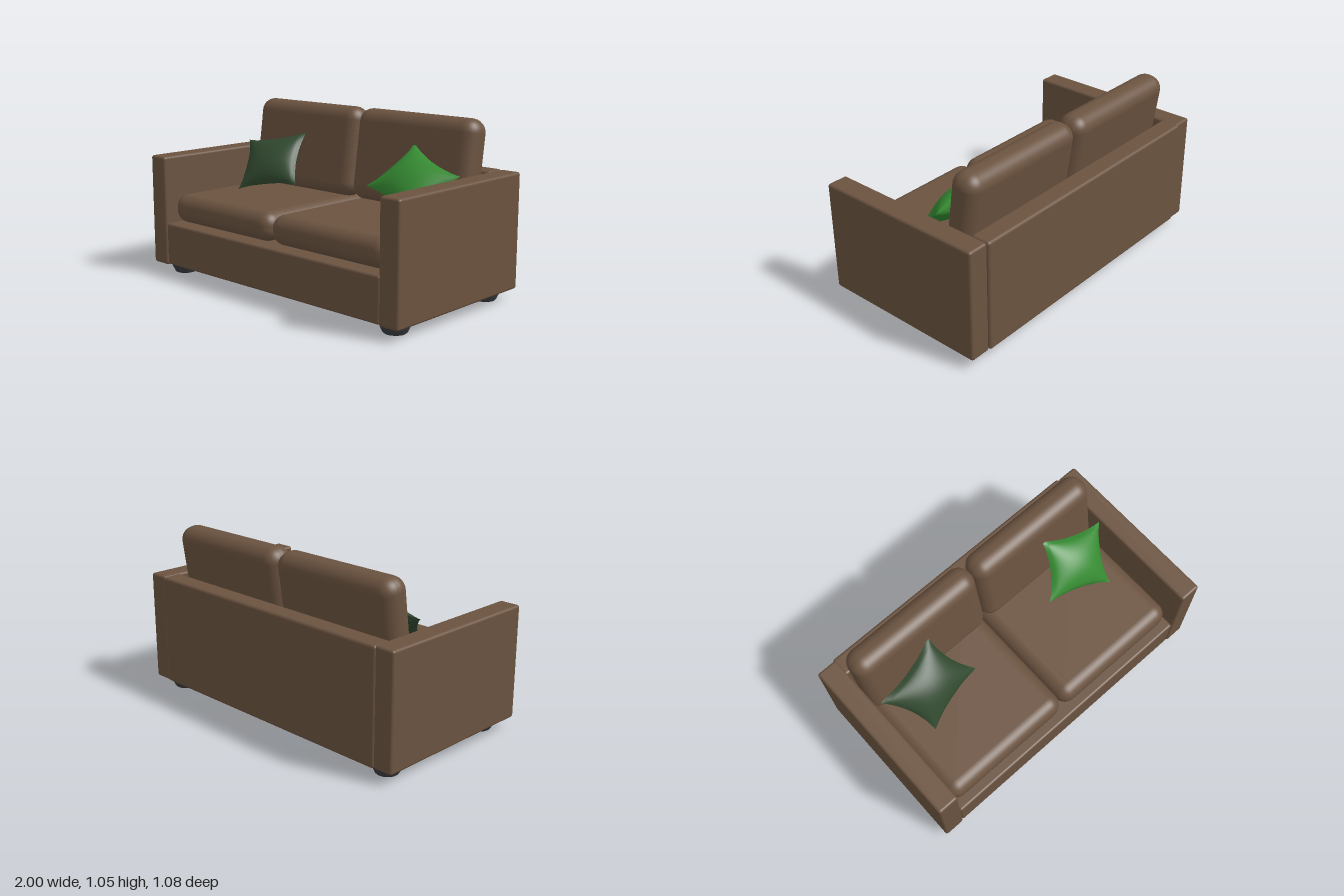
import * as THREE from 'three';
import { RoundedBoxGeometry } from 'three/addons/geometries/RoundedBoxGeometry.js';
import { ParametricGeometry } from 'three/addons/geometries/ParametricGeometry.js';

const material = (color) => new THREE.MeshStandardMaterial({ color });
const V = (x, y, z) => new THREE.Vector3(x, y, z);

// Rounded block spanning two opposite corners
function block(name, min, max, radius, mat) {
  const size = max.clone().sub(min);
  const mesh = new THREE.Mesh(new RoundedBoxGeometry(size.x, size.y, size.z, 5, radius), mat);
  mesh.position.copy(min).add(max).multiplyScalar(0.5);
  mesh.name = name;
  return mesh;
}

// Throw pillow from four corners (clockwise as seen from its front): pinched sides, plump middle
function pillow(name, [a, b, c, d], halfThickness, mat) {
  const group = new THREE.Group();
  group.name = name;
  const normal = d.clone().sub(a).cross(b.clone().sub(a)).normalize();
  const pinch = 0.15;
  for (const side of [1, -1]) {
    const geometry = new ParametricGeometry((u, v, target) => {
      const s = (2 * u - 1) * side, t = 2 * v - 1;
      const p = (1 + s * (1 - pinch * (1 - t * t))) / 2;
      const q = (1 + t * (1 - pinch * (1 - s * s))) / 2;
      const top = a.clone().lerp(b, q), bottom = d.clone().lerp(c, q);
      const bulge = halfThickness * Math.pow(Math.max(0, (1 - s * s) * (1 - t * t)), 0.6);
      target.copy(top).lerp(bottom, p).addScaledVector(normal, side * bulge);
    }, 24, 24);
    geometry.computeVertexNormals();
    const mesh = new THREE.Mesh(geometry, mat);
    mesh.name = side > 0 ? 'pillowFront' : 'pillowBack';
    group.add(mesh);
  }
  return group;
}

export function createModel() {
  const sofa = new THREE.Group();
  sofa.name = 'sofa';
  const fabric = material(0x6b5340);
  const footMat = material(0x3a3c3f);

  // Frame
  sofa.add(block('base', V(-0.87, 0.068, -0.45), V(0.87, 0.33, 0.535), 0.015, fabric));
  sofa.add(block('backPanel', V(-0.885, 0.065, -0.54), V(0.87, 0.745, -0.415), 0.018, fabric));
  sofa.add(block('rightArm', V(-1, 0.063, -0.53), V(-0.868, 0.745, 0.54), 0.016, fabric));
  sofa.add(block('leftArm', V(0.868, 0.063, -0.53), V(1, 0.745, 0.54), 0.016, fabric));

  // Seat and back cushions
  for (const [side, x0, x1] of [['right', -0.87, -0.007], ['left', -0.007, 0.86]]) {
    sofa.add(block(side + 'SeatCushion', V(x0, 0.33, -0.42), V(x1, 0.507, 0.485), 0.078, fabric));
    const back = block(side + 'BackCushion', V(x0, 0.495, -0.4), V(x1 + 0.004, 1.05, -0.22), 0.082, fabric);
    back.position.z = -0.308;
    back.rotation.x = -0.14;
    sofa.add(back);
  }

  // Feet
  const profile = [[0, 0], [0.063, 0], [0.067, 0.004], [0.082, 0.035], [0.087, 0.052], [0.086, 0.07], [0, 0.07]]
    .map(([r, y]) => new THREE.Vector2(r, y));
  const footGeometry = new THREE.LatheGeometry(profile, 28);
  for (const x of [-0.865, 0.865]) {
    for (const z of [0.397, -0.405]) {
      const foot = new THREE.Mesh(footGeometry, footMat);
      foot.name = (z > 0 ? 'front' : 'back') + (x > 0 ? 'Left' : 'Right') + 'Foot';
      foot.position.set(x, 0, z);
      sofa.add(foot);
    }
  }

  // Throw pillows
  sofa.add(pillow('darkPillow', [V(-0.845, 0.785, -0.145), V(-0.41, 0.868, -0.238),
    V(-0.27, 0.575, 0), V(-0.68, 0.512, 0.107)], 0.075, material(0x31492f)));
  sofa.add(pillow('greenPillow', [V(0.463, 0.885, -0.24), V(0.855, 0.748, -0.155),
    V(0.717, 0.512, 0.11), V(0.312, 0.65, 0.003)], 0.075, material(0x358a32)));

  return sofa;
}
